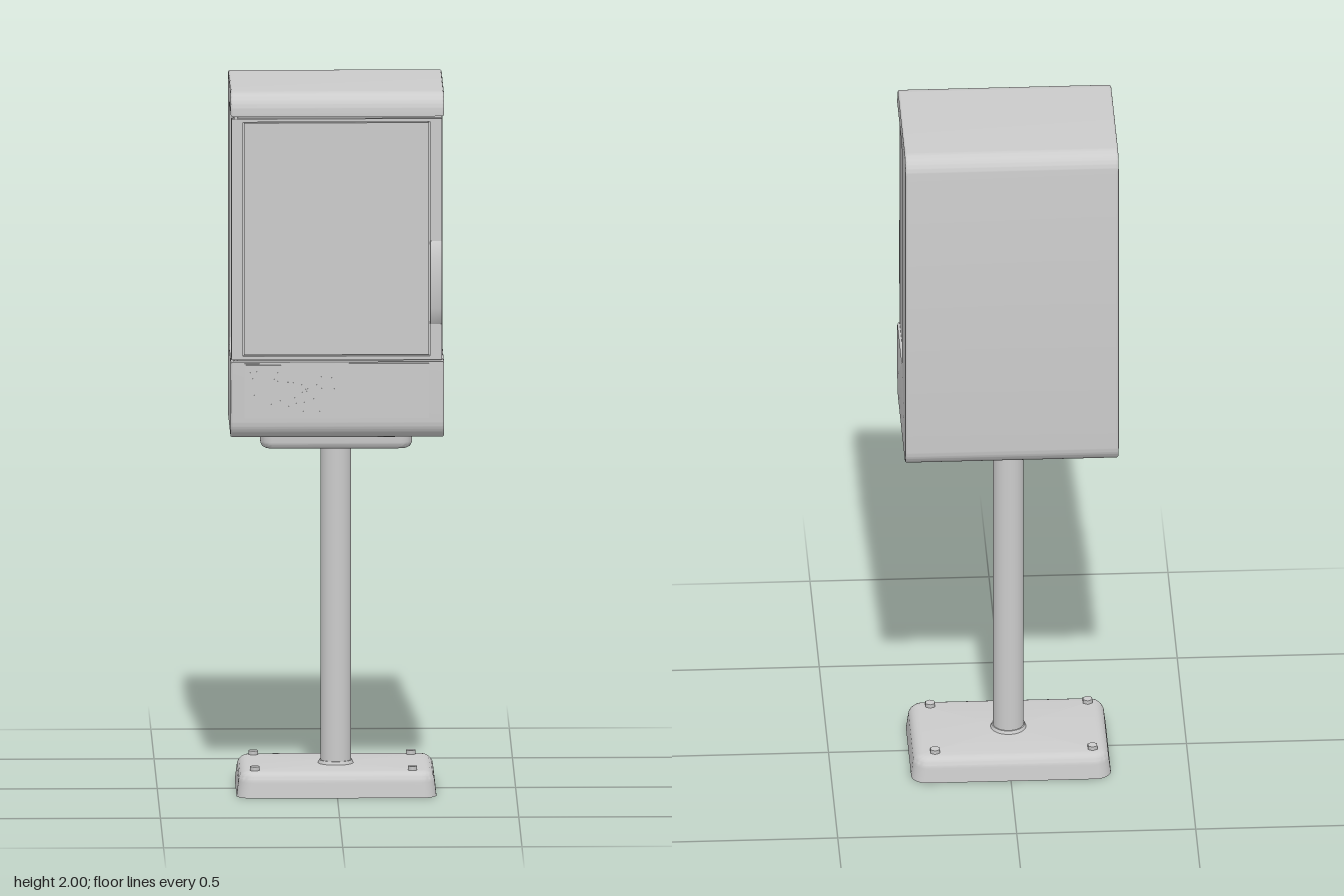
import * as THREE from 'three';
import { toCreasedNormals, mergeGeometries } from 'three/addons/utils/BufferGeometryUtils.js';

const material = new THREE.MeshStandardMaterial({ color: 0xcccccc });

function addMesh(parent, name, geometry, x = 0, y = 0, z = 0) {
  const mesh = new THREE.Mesh(geometry, material);
  mesh.name = name;
  mesh.position.set(x, y, z);
  parent.add(mesh);
  return mesh;
}

// Box given by its lower and upper corners
function addBox(parent, name, [x0, y0, z0], [x1, y1, z1]) {
  return addMesh(parent, name, new THREE.BoxGeometry(x1 - x0, y1 - y0, z1 - z0),
    (x0 + x1) / 2, (y0 + y1) / 2, (z0 + z1) / 2);
}

// Side profile in (-z, y), extruded across x from x0 to x1 with softened edges
function acrossX(shape, x0, x1, bevel) {
  const g = new THREE.ExtrudeGeometry(shape, {
    depth: x1 - x0 - 2 * bevel, bevelEnabled: true, bevelSize: bevel, bevelThickness: bevel,
    bevelOffset: -bevel, bevelSegments: 3, curveSegments: 10,
  });
  g.translate(0, 0, x0 + bevel).rotateY(Math.PI / 2);
  return toCreasedNormals(g, 0.6);
}

// Stack of rounded rectangles; each ring is [half width, half depth, corner radius, y]
function roundedLoft(rings, steps = 8) {
  const pos = [], idx = [], n = 4 * (steps + 1);
  for (const [hw, hd, r, y] of rings) {
    for (let c = 0; c < 4; c++) {
      const sx = c === 0 || c === 3 ? 1 : -1, sz = c < 2 ? 1 : -1;
      for (let s = 0; s <= steps; s++) {
        const a = (c + s / steps) * Math.PI / 2;
        pos.push(sx * (hw - r) + r * Math.cos(a), y, sz * (hd - r) + r * Math.sin(a));
      }
    }
  }
  for (let k = 0; k < rings.length - 1; k++) {
    for (let i = 0; i < n; i++) {
      const a = k * n + i, b = k * n + (i + 1) % n;
      idx.push(a, a + n, b, b, a + n, b + n);
    }
  }
  const g = new THREE.BufferGeometry();
  g.setAttribute('position', new THREE.Float32BufferAttribute(pos, 3));
  g.setIndex(idx);
  return toCreasedNormals(g, 0.6);
}

// Rings of a quarter-round edge between a wall and a flat face
function roundEdge(hw, hd, r, y, edge, dir) {
  return Array.from({ length: 6 }, (_, i) => {
    const a = (i / 5) * Math.PI / 2, inset = edge * (1 - Math.cos(a));
    return [hw - inset, hd - inset, r - inset, y + dir * edge * Math.sin(a)];
  });
}

function createStand(group) {
  // Hollow foot: ceiling, inner wall, rim, outer wall, rounded top
  addMesh(group, 'base', roundedLoft([
    [0, 0, 0, 0.058], [0.26, 0.165, 0.03, 0.058], [0.272, 0.177, 0.04, 0],
    [0.279, 0.184, 0.045, 0], ...roundEdge(0.274, 0.179, 0.045, 0.042, 0.03, 1), [0, 0, 0, 0.072],
  ]), -0.002, 0, -0.01);
  for (const x of [-0.23, 0.21]) {
    for (const z of [-0.145, 0.125]) {
      addMesh(group, 'bolt', new THREE.CylinderGeometry(0.015, 0.015, 0.014, 6), x, 0.076, z);
    }
  }
  addMesh(group, 'poleCollar', new THREE.CylinderGeometry(0.046, 0.05, 0.01, 40), -0.002, 0.076, -0.004);
  addMesh(group, 'pole', new THREE.CylinderGeometry(0.043, 0.043, 0.93, 40), -0.002, 0.525, -0.004);

  // Mount under the cabinet, rounded at the bottom
  addMesh(group, 'mount', roundedLoft([
    [0, 0, 0, 0.975], ...roundEdge(0.212, 0.116, 0.04, 0.995, 0.02, -1).reverse(),
    [0.212, 0.116, 0.04, 1.03],
  ]), -0.002, 0, -0.01);
}

function createCabinet(group) {
  // Shell profile with the door opening cut from the front
  const f = -0.218, b = 0.235, y0 = 1.022, y1 = 2, r = 0.05;
  const lo = 1.242, hi = 1.936, back = 0.037, q = 0.035;
  const s = new THREE.Shape();
  s.moveTo(f + r, y0);
  s.lineTo(b - r, y0);
  s.absarc(b - r, y0 + r, r, -Math.PI / 2, 0);
  s.lineTo(b, y1 - r);
  s.absarc(b - r, y1 - r, r, 0, Math.PI / 2);
  s.lineTo(f + r, y1);
  s.absarc(f + r, y1 - r, r, Math.PI / 2, Math.PI);
  s.lineTo(f, hi);
  s.lineTo(back - q, hi);
  s.absarc(back - q, hi - q, q, Math.PI / 2, 0, true);
  s.lineTo(back, lo + q);
  s.absarc(back - q, lo + q, q, 0, -Math.PI / 2, true);
  s.lineTo(f, lo);
  s.lineTo(f, y0 + r);
  s.absarc(f + r, y0 + r, r, Math.PI, Math.PI * 1.5);
  addMesh(group, 'shell', acrossX(s, -0.299, 0.297, 0.006));

  // Body behind the door, set slightly in from the shell sides
  addBox(group, 'sidePanels', [-0.292, lo - 0.01, -0.06], [0.29, hi + 0.01, 0.194]);
}

function createDoor(group) {
  // Front frame around a slightly sunken panel
  const rect = (P, xa, ya, xb, yb) => new P().setFromPoints([
    new THREE.Vector2(xa, ya), new THREE.Vector2(xb, ya),
    new THREE.Vector2(xb, yb), new THREE.Vector2(xa, yb)]);
  const frame = rect(THREE.Shape, -0.297, 1.247, 0.291, 1.929);
  frame.holes.push(rect(THREE.Path, -0.264, 1.258, 0.258, 1.92));
  addMesh(group, 'doorFrame',
    new THREE.ExtrudeGeometry(frame, { depth: 0.016, bevelEnabled: false }), 0, 0, 0.199);
  addBox(group, 'doorPanel', [-0.261, 1.261, 0.19], [0.255, 1.917, 0.211]);
  addBox(group, 'doorSeal', [-0.285, 1.25, 0.19], [0.28, 1.925, 0.202]);
  addMesh(group, 'hingePin', new THREE.CylinderGeometry(0.006, 0.006, 0.69, 12), -0.284, 1.59, 0.205);

  // Bowed pull handle
  const h = new THREE.Shape().setFromPoints([
    [-0.2, 1.335], [-0.214, 1.345], [-0.235, 1.395], [-0.235, 1.535], [-0.214, 1.585], [-0.2, 1.595],
    [-0.2, 1.575], [-0.222, 1.528], [-0.222, 1.402], [-0.2, 1.355],
  ].map(([x, y]) => new THREE.Vector2(x, y)));
  addMesh(group, 'handle', acrossX(h, 0.257, 0.291, 0.002));
}

function createLowerPanel(group) {
  addBox(group, 'lowerPanel', [-0.26, 1.083, 0.2], [0.255, 1.238, 0.222]);

  // Thin plate with a slanted edge and scattered studs
  const plate = new THREE.Shape().setFromPoints([
    [-0.256, 1.087], [0, 1.087], [-0.004, 1.14], [-0.025, 1.234], [-0.256, 1.234],
  ].map(([x, y]) => new THREE.Vector2(x, y)));
  addMesh(group, 'speckledPlate',
    new THREE.ExtrudeGeometry(plate, { depth: 0.0025, bevelEnabled: false }), 0, 0, 0.222);
  let seed = 7;
  const rand = () => (seed = (seed * 16807) % 2147483647) / 2147483647;
  const studs = Array.from({ length: 70 }, () =>
    new THREE.CylinderGeometry(0.0018, 0.0018, 0.002, 6).rotateX(Math.PI / 2)
      .translate(-0.25 + 0.22 * rand(), 1.095 + 0.13 * rand(), 0.225));
  addMesh(group, 'studs', mergeGeometries(studs));
}

export function createModel() {
  const model = new THREE.Group();
  model.name = 'pedestalCabinet';
  const parts = { stand: createStand, cabinet: createCabinet, door: createDoor, frontPanel: createLowerPanel };
  for (const [name, build] of Object.entries(parts)) {
    const group = new THREE.Group();
    group.name = name;
    build(group);
    model.add(group);
  }
  return model;
}
